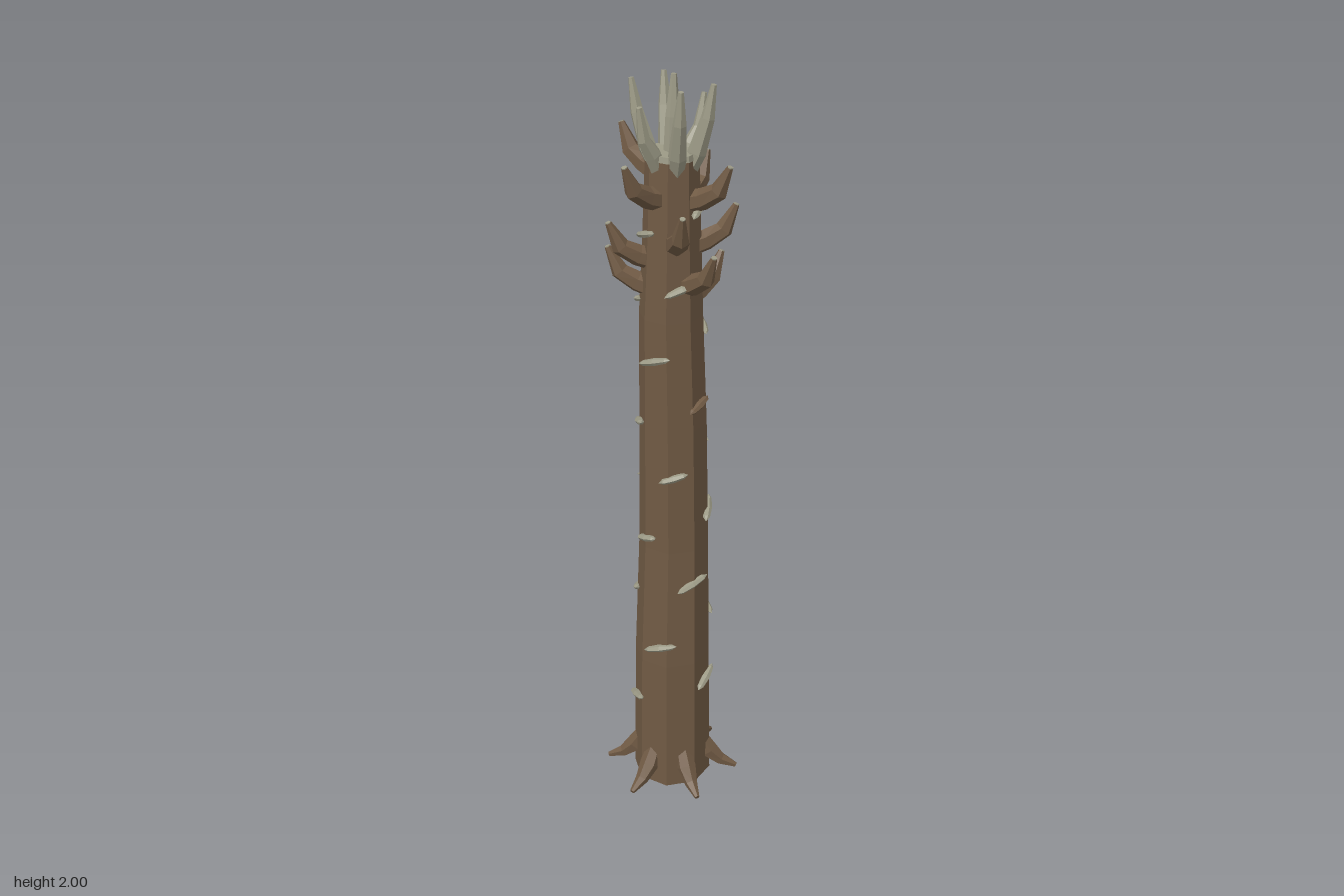
import * as THREE from 'three';

const bark = new THREE.MeshStandardMaterial({ color: 0x705a44, flatShading: true });
const pale = new THREE.MeshStandardMaterial({ color: 0x9c9a86, flatShading: true });
const rad = THREE.MathUtils.degToRad;

// Trunk stations: height, radius, centre x, centre z
const stations = [
  [0, 0.108, 0, 0], [0.4, 0.102, 0, 0], [0.75, 0.093, 0.007, -0.003],
  [1.1, 0.088, 0.006, -0.005], [1.4, 0.081, 0, -0.005], [1.6, 0.073, 0, -0.002], [1.81, 0.066, 0, 0],
];

function trunkAt(y) {
  let i = 0;
  while (i < stations.length - 2 && y > stations[i + 1][0]) i++;
  const [a, b] = [stations[i], stations[i + 1]];
  const t = (y - a[0]) / (b[0] - a[0]);
  const [, r, x, z] = a.map((v, k) => v + (b[k] - v) * t);
  return { r, x, z };
}

// Tapered limb bending in the XY plane; path rows are [outward, height, radius]
function limb(path, sides = 6) {
  const pos = [], idx = [];
  path.forEach(([x, y, r], i) => {
    const p = path[Math.max(i - 1, 0)], n = path[Math.min(i + 1, path.length - 1)];
    const d = new THREE.Vector2(n[0] - p[0], n[1] - p[1]).normalize();
    for (let k = 0; k < sides; k++) {
      const a = (k / sides) * Math.PI * 2, c = Math.cos(a) * r;
      pos.push(x - d.y * c, Math.max(0, y + d.x * c), Math.sin(a) * r);
      if (i === 0) continue;
      const k2 = (k + 1) % sides, lo = (i - 1) * sides, hi = i * sides;
      idx.push(lo + k, lo + k2, hi + k, lo + k2, hi + k2, hi + k);
    }
  });
  const last = (path.length - 1) * sides;
  for (let k = 1; k < sides - 1; k++) {
    idx.push(last, last + k, last + k + 1);
    idx.push(0, k + 1, k);
  }
  const g = new THREE.BufferGeometry();
  g.setAttribute('position', new THREE.Float32BufferAttribute(pos, 3));
  g.setIndex(idx);
  g.computeVertexNormals();
  return g;
}

export function createModel() {
  const model = new THREE.Group();

  const add = (name, geometry, material, angle = 0, x = 0, z = 0) => {
    const mesh = new THREE.Mesh(geometry, material);
    mesh.name = name;
    mesh.rotation.y = -rad(angle);
    mesh.position.set(x, 0, z);
    model.add(mesh);
  };

  // Eight-sided trunk, gently bent and tapering
  const trunk = new THREE.CylinderGeometry(1, 1, 1, 8, stations.length - 1);
  const p = trunk.attributes.position;
  for (let i = 0; i < p.count; i++) {
    const s = stations[Math.round((p.getY(i) + 0.5) * (stations.length - 1))];
    p.setXYZ(i, p.getX(i) * s[1] + s[2], s[0], p.getZ(i) * s[1] + s[3]);
  }
  trunk.computeVertexNormals();
  add('trunk', trunk, bark);

  // Pale cut face on top
  const cap = new THREE.CylinderGeometry(0.066, 0.068, 0.015, 8);
  cap.translate(0, 1.812, 0);
  add('trunkTop', cap, pale);

  // Six flared roots
  for (let i = 0; i < 6; i++) {
    add('root', limb([[0.075, 0.11, 0.022], [0.105, 0.06, 0.027], [0.14, 0.028, 0.018], [0.184, 0.01, 0.007]]),
      bark, -16 + i * 60);
  }

  // Three tiers of upturned branch stubs: angle, tip height
  const branches = [
    [66, 1.80], [171, 1.81], [-105, 1.86], [-20, 1.78],
    [32, 1.68], [117, 1.70], [-158, 1.65], [-73, 1.71],
    [0, 1.53], [86, 1.59], [-138, 1.57], [-53, 1.62],
  ];
  for (const [angle, y] of branches) {
    const c = trunkAt(y - 0.1);
    add('branch', limb([[0.03, y - 0.105, 0.032], [0.085, y - 0.088, 0.027],
      [0.128, y - 0.062, 0.023], [0.157, y, 0.008]]), bark, angle, c.x, c.z);
    add('branchTip', limb([[0.156, y - 0.003, 0.0075], [0.158, y + 0.002, 0.0075]]), pale, angle, c.x, c.z);
  }

  // Crown of pale spikes around one central spike
  for (let i = 0; i < 6; i++) {
    const tip = i % 3 === 0 ? 1.94 : 1.985;
    add('crownSpike', limb([[0.04, 1.77, 0.02], [0.062, 1.82, 0.023], [0.088, tip - 0.08, 0.017], [0.102, tip, 0.007]]),
      pale, -5 + i * 60);
  }
  add('centreSpike', limb([[0, 1.8, 0.022], [0.004, 1.9, 0.018], [0.01, 2, 0.007]]), pale, -30);

  // Slanted bark scars spiralling up by the golden angle
  for (let i = 0; i < 24; i++) {
    const y = 0.2 + i * 0.0645, c = trunkAt(y);
    const scar = new THREE.SphereGeometry(1, 6, 4);
    scar.scale(0.013, i % 3 ? 0.05 : 0.04, 0.01);
    scar.rotateX(rad(-72));
    scar.translate(c.r * 0.98, y, 0);
    add('barkScar', scar, i % 15 ? pale : bark, -24 - 137.5 * i, c.x, c.z);
  }
  return model;
}
